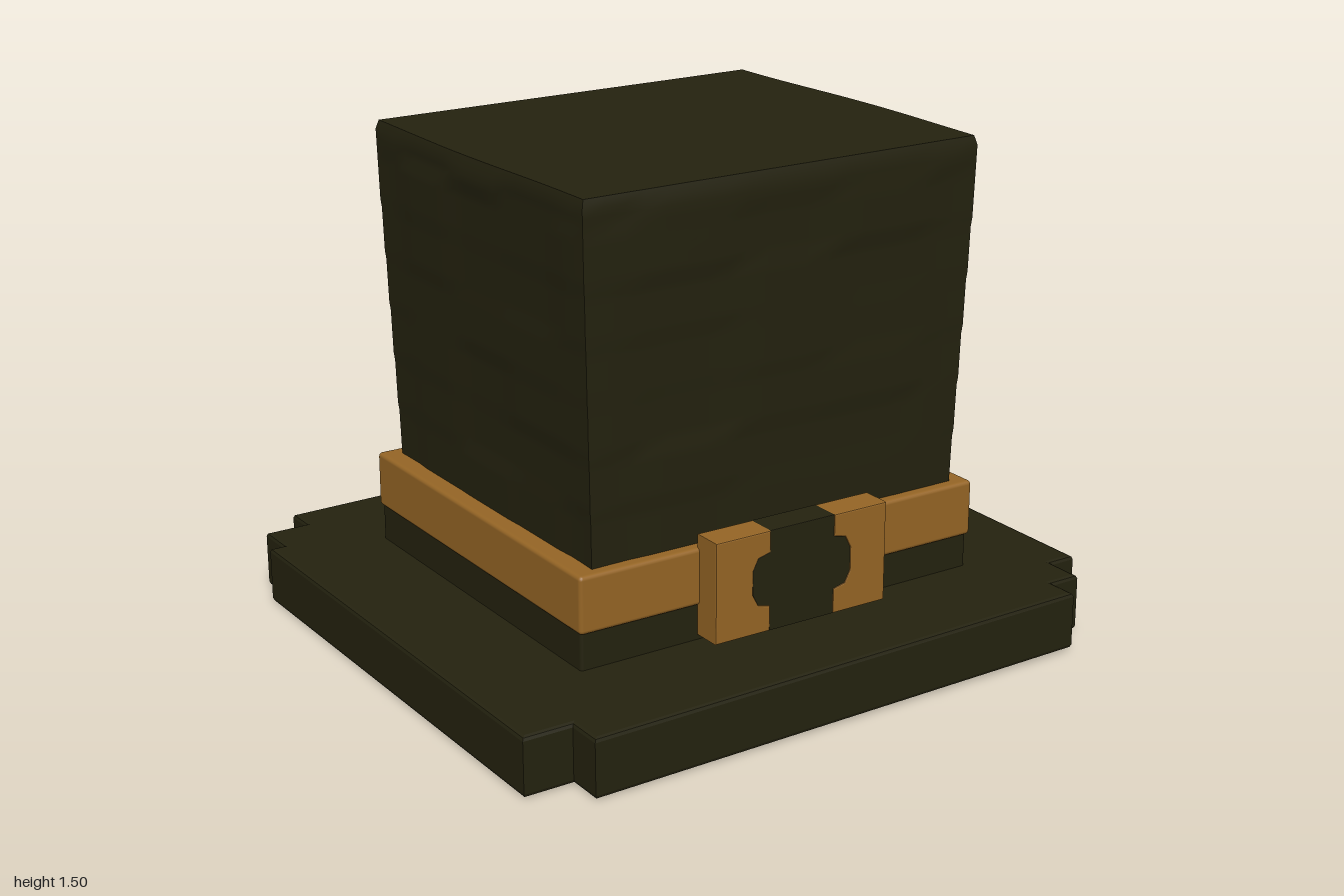
import * as THREE from 'three';
import { RoundedBoxGeometry } from 'three/addons/geometries/RoundedBoxGeometry.js';

const felt = new THREE.MeshStandardMaterial({ color: 0x24220f });
felt.name = 'dark olive felt';
const gold = new THREE.MeshStandardMaterial({ color: 0x956525 });
gold.name = 'antique gold';

const shapeOf = (points) => new THREE.Shape(points.map(([x, y]) => new THREE.Vector2(x, y)));

// Extrusion of the given total depth with small bevels kept inside the outline
function slab(points, depth, bevel) {
  return new THREE.ExtrudeGeometry(shapeOf(points), {
    depth: depth - 2 * bevel, bevelThickness: bevel, bevelSize: bevel,
    bevelOffset: -bevel, bevelSegments: 2,
  }).translate(0, 0, bevel);
}

// Repeatable value from 0 to 1 for a pair of integers
function hash(a, b) {
  const s = Math.sin(a * 127.1 + b * 311.7) * 43758.5453;
  return s - Math.floor(s);
}

// Tapered block with shallow, uneven courses pressed into its sides
function crownGeometry(bottom, top) {
  const geo = new THREE.BoxGeometry(2, 1, 2, 20, 40, 20);
  const p = geo.attributes.position;
  for (let i = 0; i < p.count; i++) {
    const x = p.getX(i), z = p.getZ(i), t = p.getY(i) + 0.5;
    const row = Math.floor(t * 6.6);
    const corner = Math.max(0, Math.min(Math.abs(x), Math.abs(z)) - 0.85) / 0.15;
    const patch = hash(row, Math.round(x * 2) + 7 * Math.round(z * 2));
    const relief = (patch - 0.5) * 0.009 * (1 - corner) * (t < 0.97 ? 1 : 0);
    const edge = t > 0.99 ? 0.008 : 0;
    const taper = 0.7 * t + 0.3 * Math.min(1, row / 5);
    const hx = 0.618 + 0.036 * taper + relief - edge;
    const hz = 0.55 + 0.03 * taper + relief - edge;
    const lift = t * (0.007 * x + 0.003 * Math.sin(3 * z + x));
    p.setXYZ(i, x * hx, bottom + (top - bottom) * t + lift, z * hz);
  }
  geo.computeVertexNormals();
  return geo;
}

export function createModel() {
  const hat = new THREE.Group();
  hat.name = 'hat';
  const add = (name, geometry, material, x = 0, y = 0, z = 0) => {
    const mesh = new THREE.Mesh(geometry, material);
    mesh.name = name;
    mesh.position.set(x, y, z);
    hat.add(mesh);
    return mesh;
  };

  // Brim: a slightly crooked square with stepped corners, given as x, z
  const outline = [
    [-0.82, -0.925], [-0.82, -0.83], [-0.955, -0.83], [-0.955, -0.705], [-1, -0.705],
    [-1, 0.83], [-0.85, 0.83], [-0.85, 0.94], [0.8, 0.915], [0.8, 0.82],
    [0.9, 0.82], [0.9, 0.7], [0.99, 0.7], [1, -0.84], [0.84, -0.84], [0.84, -0.95],
  ].map(([x, z]) => [x, -z]);
  const brim = add('brim', slab(outline, 0.175, 0.012).rotateX(-Math.PI / 2), felt, 0, 0.01, 0);
  brim.rotation.z = 0.005;

  // Foot of the crown, hat band and crown
  add('crownFoot', new RoundedBoxGeometry(1.34, 0.16, 1.165, 2, 0.01), felt, 0, 0.24, -0.008);
  add('hatBand', new RoundedBoxGeometry(1.355, 0.17, 1.185, 2, 0.012), gold, 0, 0.375, -0.007);
  add('crown', crownGeometry(0.44, 1.497), felt);

  // Buckle: two mirrored gold brackets around a dark centre
  const notch = [
    [0.11, 0.5], [0.11, 0.435], [0.15, 0.425], [0.168, 0.39],
    [0.168, 0.32], [0.15, 0.285], [0.11, 0.275], [0.11, 0.2],
  ];
  for (const side of [1, -1]) {
    const bracket = [[0.292, 0.5], ...notch, [0.292, 0.2]].map(([x, y]) => [x * side, y]);
    add(side > 0 ? 'buckleLeft' : 'buckleRight', slab(bracket, 0.095, 0.004), gold, 0, 0, 0.573);
  }
  const centre = [...notch, ...notch.map(([x, y]) => [-x, y]).reverse()];
  add('buckleCentre', slab(centre, 0.093, 0.001), felt, 0, 0, 0.573);

  return hat;
}
